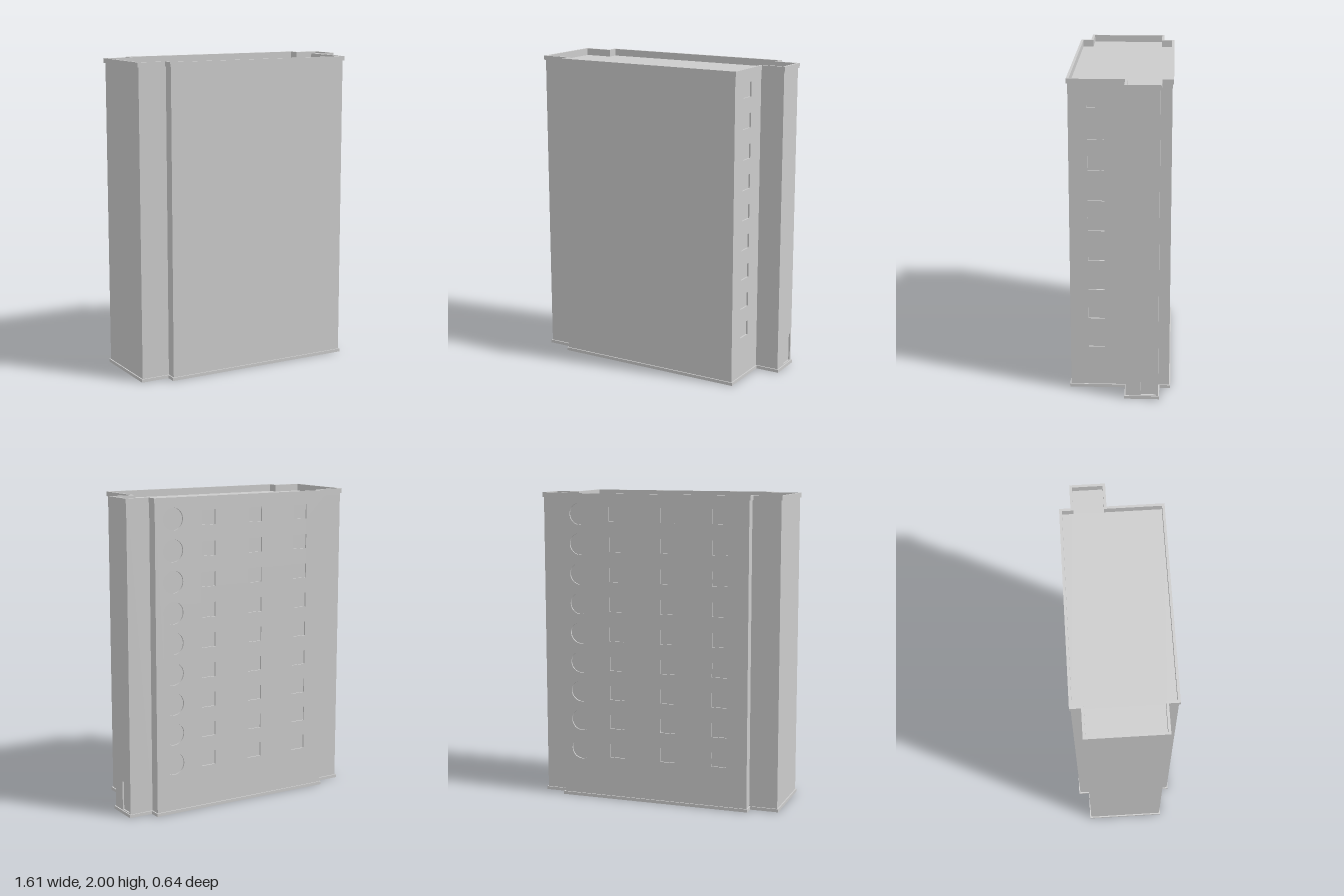
import * as THREE from 'three';

const REVEAL = 0.01;   // depth of window and door recesses
const ROOF = 1.955;
const BASE = 0.02;
const FLOORS = 9;
const STOREY = 0.193;
const material = new THREE.MeshStandardMaterial({ color: 0xcccccc, flatShading: true });

// Plan outline (x, -z), grown outward by o; c pulls in the walls that carry facade panels
function plan(o, c = 0) {
  const L = -0.797 - o, l = -0.613 - o, r = 0.641 + o, R = 0.797 + o;
  const front = 0.311 + o, back = -0.311 - o;
  return [
    [L, 0.243 + o], [l, 0.243 + o], [l, front], [r - c, front],
    [r - c, -0.04 + o], [R - c, -0.04 + o], [R - c, -0.242 - o], [r, -0.242 - o],
    [r, back + c], [l, back + c], [l, -0.242 - o], [L, -0.242 - o],
  ].map(([x, z]) => new THREE.Vector2(x, -z));
}

function addMesh(parent, name, geometry) {
  const mesh = new THREE.Mesh(geometry, material);
  mesh.name = name;
  parent.add(mesh);
  return mesh;
}

// Upright prism from a plan outline, optionally hollow
function prism(outline, y0, y1, hole) {
  const shape = new THREE.Shape(outline);
  if (hole) shape.holes.push(new THREE.Path(hole));
  return new THREE.ExtrudeGeometry(shape, { depth: y1 - y0, bevelEnabled: false })
    .rotateX(-Math.PI / 2).translate(0, y0, 0);
}

function rect(x0, x1, y0, y1, Type = THREE.Path) {
  return new Type([[x0, y0], [x1, y0], [x1, y1], [x0, y1]].map(p => new THREE.Vector2(...p)));
}

// Thin facade panel with openings cut through it
function panel(x0, x1, holes) {
  const shape = rect(x0, x1, BASE, ROOF, THREE.Shape);
  shape.holes.push(...holes);
  return new THREE.ExtrudeGeometry(shape, { depth: REVEAL, bevelEnabled: false, curveSegments: 24 });
}

export function createModel() {
  const building = new THREE.Group();
  building.name = 'towerBlock';

  // Main mass, base course and roof edge
  addMesh(building, 'plinth', prism(plan(0.008), 0, BASE));
  addMesh(building, 'core', prism(plan(0, REVEAL), BASE, ROOF));
  addMesh(building, 'roofUpstand', prism(plan(0), ROOF, 1.97, plan(-0.008)));
  addMesh(building, 'parapet', prism(plan(0.008), 1.97, 2, plan(-0.008)));

  // Openings repeated on every floor
  const backHoles = [], sideHoles = [];
  for (let i = 0; i < FLOORS; i++) {
    const y = 1.868 - i * STOREY;
    const round = new THREE.Path();
    round.absarc(0.516, y, 0.07, 0, Math.PI * 2, true);
    backHoles.push(round);
    for (const x of [0.265, -0.082, -0.428]) {
      backHoles.push(rect(x - 0.05, x + 0.05, y - 0.046, y + 0.046));
    }
    sideHoles.push(rect(-0.197, -0.095, y - 0.046, y + 0.046));
  }

  // Back facade
  addMesh(building, 'backFacade', panel(-0.613, 0.641, backHoles)).position.z = -0.311;

  // Side facade and the end of the stair wing with its door
  const side = addMesh(building, 'sideFacade', panel(-0.311, 0.04, sideHoles));
  side.rotation.y = Math.PI / 2;
  side.position.x = 0.641 - REVEAL;
  const door = rect(0.135, 0.228, BASE + 0.005, 0.21);
  const wing = addMesh(building, 'wingEndWithDoor', panel(0.04, 0.242, [door]));
  wing.rotation.y = Math.PI / 2;
  wing.position.x = 0.797 - REVEAL;

  return building;
}
